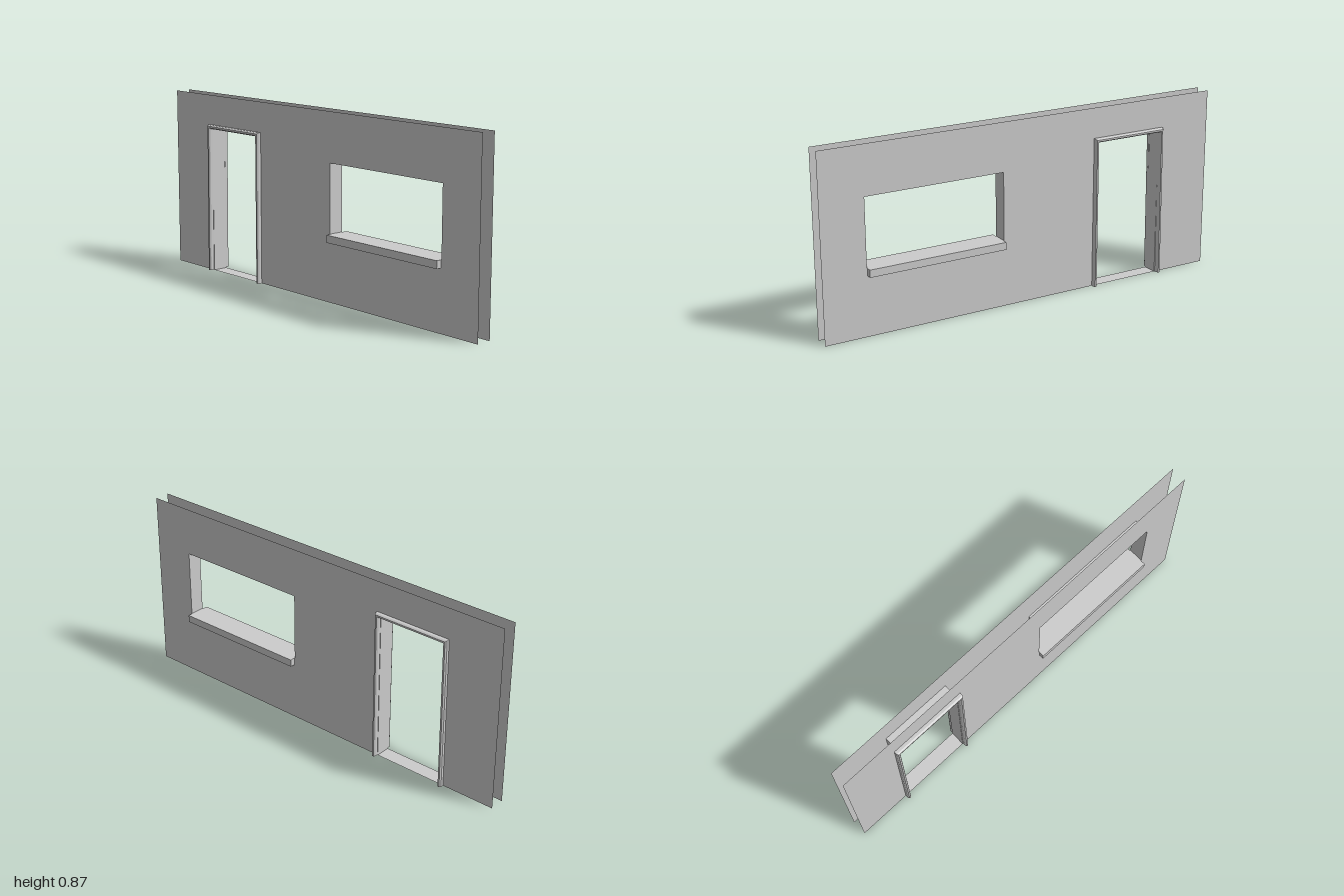
import * as THREE from 'three';

const H = 0.865, WALL_X = 0.036;
const win = { z0: 0.12, z1: 0.793, y0: 0.315, y1: 0.635 };
const door = { z0: -0.719, z1: -0.377, y1: 0.704 };

export function createModel() {
  const group = new THREE.Group();
  const mat = new THREE.MeshStandardMaterial({ color: 0xcccccc, flatShading: true, side: THREE.DoubleSide });
  const add = (name, geometry) => {
    const mesh = new THREE.Mesh(geometry, mat);
    mesh.name = name;
    group.add(mesh);
    return mesh;
  };

  // Thin wall skin with a door notch and a window hole, drawn in (z, y)
  const skin = new THREE.Shape([
    [-1, 0], [door.z0, 0], [door.z0, door.y1], [door.z1, door.y1], [door.z1, 0], [1, 0], [1, H], [-1, H],
  ].map(p => new THREE.Vector2(...p)));
  skin.holes.push(new THREE.Path([
    [win.z0, win.y0], [win.z0, win.y1], [win.z1, win.y1], [win.z1, win.y0],
  ].map(p => new THREE.Vector2(...p))));

  // Door casing: bevelled profile (outward offset, x) mitred around the opening
  const profile = [[0, 0.036], [0, 0.05], [0.005, 0.058], [0.013, 0.058], [0.018, 0.05], [0.018, 0.036]];
  const path = [ // z, y, outward z, outward y; the back jamb flares slightly at the floor
    [-0.375, 0, 1, 0], [-0.375, 0.703, 1, 1], [-0.717, 0.703, -1, 1], [-0.723, 0, -1, 0],
  ];
  const casing = side => {
    const pos = [];
    const pt = (i, j) => {
      const [z, y, dz, dy] = path[i], [d, x] = profile[j];
      return [side * x, y + dy * d, z + dz * d];
    };
    const tri = (a, b, c) => pos.push(...a, ...(side > 0 ? b : c), ...(side > 0 ? c : b));
    for (let i = 0; i < path.length - 1; i++) {
      for (let j = 0; j < profile.length - 1; j++) {
        tri(pt(i, j), pt(i + 1, j), pt(i, j + 1));
        tri(pt(i + 1, j), pt(i + 1, j + 1), pt(i, j + 1));
      }
    }
    // Caps at the floor
    for (let j = 1; j < profile.length - 1; j++) {
      tri(pt(0, 0), pt(0, j), pt(0, j + 1));
      tri(pt(3, 0), pt(3, j + 1), pt(3, j));
    }
    const g = new THREE.BufferGeometry();
    g.setAttribute('position', new THREE.Float32BufferAttribute(pos, 3));
    g.computeVertexNormals();
    return g;
  };

  for (const side of [1, -1]) {
    const tag = side > 0 ? 'left' : 'right';
    const wall = add(tag + 'Wall', new THREE.ShapeGeometry(skin).rotateY(side * Math.PI / 2));
    if (side > 0) wall.scale.z = -1; // keep z direction while facing outwards
    wall.position.x = side * WALL_X;
    add(tag + 'DoorCasing', casing(side));
    // Projecting nose of the window sill
    add(tag + 'SillNose', new THREE.BoxGeometry(0.025, 0.035, 0.668))
      .position.set(side * (WALL_X + 0.0125), 0.2975, 0.4565);
  }

  // Reveals: flat panels lining an opening between the two skins
  const lining = (name, { z0, z1, y0 = 0, y1 }) => {
    const w = 2 * WALL_X, zc = (z0 + z1) / 2, yc = (y0 + y1) / 2;
    const flat = (part, y, turn) =>
      add(name + part, new THREE.PlaneGeometry(w, z1 - z0).rotateX(turn)).position.set(0, y, zc);
    flat('Head', y1, Math.PI / 2);
    flat('Sill', y0, -Math.PI / 2);
    add(name + 'BackJamb', new THREE.PlaneGeometry(w, y1 - y0)).position.set(0, yc, z0);
    add(name + 'FrontJamb', new THREE.PlaneGeometry(w, y1 - y0).rotateY(Math.PI)).position.set(0, yc, z1);
  };
  lining('window', win);
  lining('door', door);

  return group;
}
